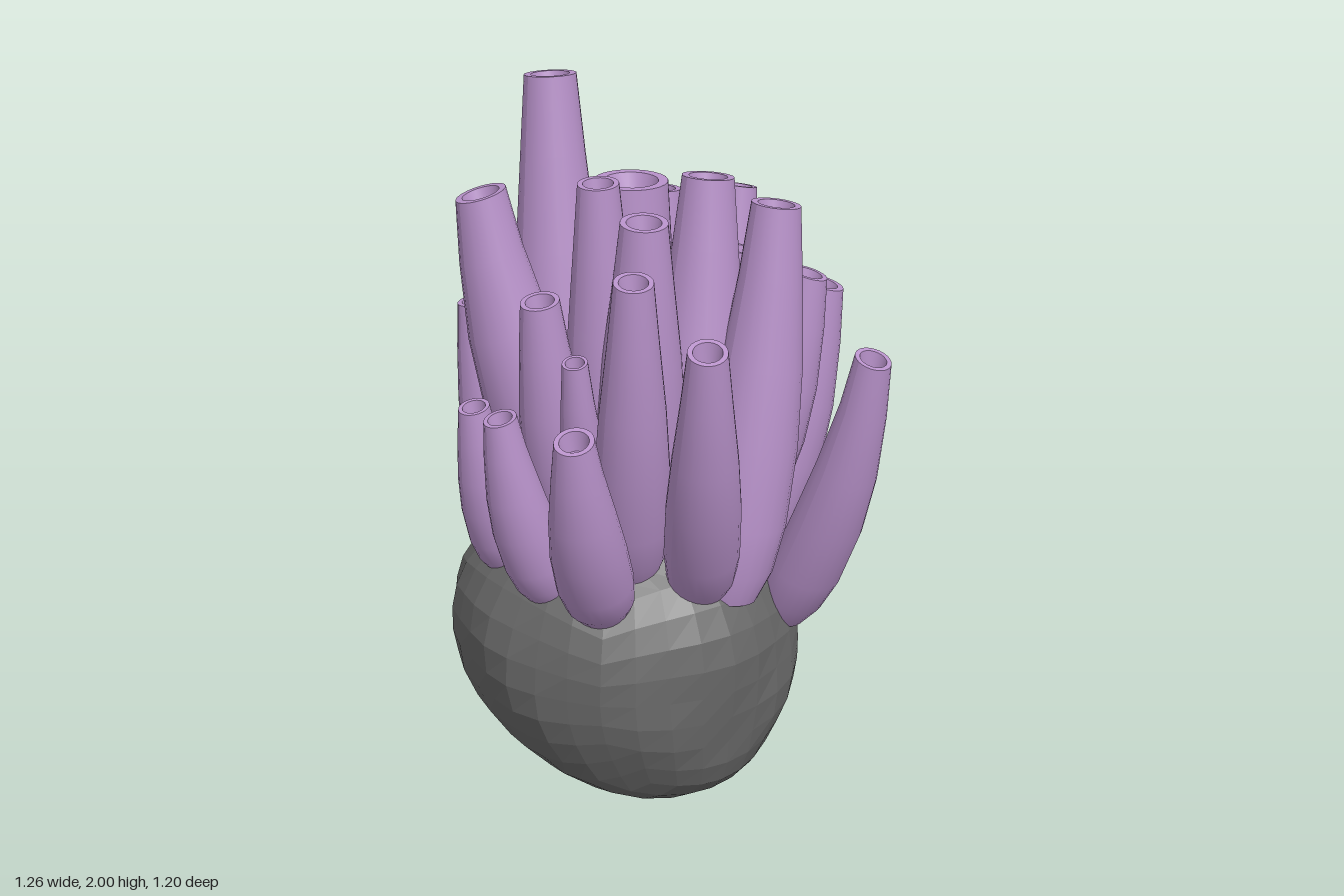
import * as THREE from 'three';

const purple = new THREE.MeshStandardMaterial({ color: 0xb892ca });
purple.name = 'purple tube';
const grey = new THREE.MeshStandardMaterial({ color: 0x696969, flatShading: true });
grey.name = 'grey rock';

// Tube tips: x, y, z, rim radius, then an optional root x, z, y
const TUBES = [
  [-0.44, 1.99, 0.05, 0.073, -0.32, 0.08], [-0.40, 1.25, -0.52, 0.055, -0.26, -0.29],
  [0.05, 1.40, -0.535, 0.065, -0.08, -0.33, 0.55], [-0.16, 1.66, -0.40, 0.05, -0.11, -0.20],
  [0.575, 1.38, -0.27, 0.05, 0.27, -0.23, 0.54], [-0.48, 1.55, -0.23, 0.042],
  [-0.60, 1.31, -0.09, 0.04, -0.40, -0.05], [-0.31, 1.53, -0.19, 0.053], [-0.13, 1.71, -0.10, 0.056],
  [0.22, 1.51, -0.34, 0.055], [0.065, 1.56, -0.23, 0.05], [0.31, 1.76, -0.15, 0.066, 0.30, 0.0],
  [0.135, 1.81, -0.06, 0.07, 0.18, 0.06], [-0.04, 1.78, 0.065, 0.10], [0.05, 1.82, 0.235, 0.055],
  [0.19, 1.74, 0.19, 0.063], [-0.26, 1.75, 0.40, 0.07, -0.12, 0.18], [-0.40, 1.40, 0.34, 0.05, -0.34, 0.25],
  [-0.15, 1.20, 0.51, 0.043, -0.18, 0.39], [0.06, 1.54, 0.43, 0.052], [0.18, 1.40, 0.405, 0.034],
  [0.35, 1.65, 0.34, 0.052], [0.34, 1.26, 0.52, 0.053, 0.19, 0.33], [0.05, 1.24, 0.555, 0.045, 0.04, 0.40],
  [0.54, 1.50, 0.25, 0.052, 0.28, 0.07],
];

const BULGE = new THREE.Vector3(-0.8, 0.1, 0.59);
const PEAK = new THREE.Vector3(-0.15, 0.87, -0.47);

// Lumpy boulder: a cube rounded to a ball, then sheared at the foot, bulged and peaked
function rockGeometry() {
  const box = new THREE.BoxGeometry(2, 2, 2, 8, 8, 8).toNonIndexed();
  const pos = box.attributes.position;
  const d = new THREE.Vector3();
  for (let i = 0; i < pos.count; i++) {
    d.fromBufferAttribute(pos, i);
    // even out the cells before rounding
    d.set(Math.tan(d.x * Math.PI / 4), Math.tan(d.y * Math.PI / 4), Math.tan(d.z * Math.PI / 4)).normalize();
    const low = Math.max(0, -d.y), high = Math.max(0, d.y);
    const lump = 1 + 0.02 * Math.sin(7 * d.x + 5 * d.y) * Math.cos(6 * d.z)
      + 0.05 * Math.max(0, d.dot(BULGE)) ** 6;
    pos.setXYZ(i,
      -0.07 + 0.15 * low * low + 0.49 * (1 + 0.14 * high) * lump * d.x,
      0.44 + 0.44 * d.y + 0.06 * Math.max(0, d.dot(PEAK)) ** 6,
      0.06 + 0.02 * d.y + 0.485 * (1 + 0.04 * high) * lump * d.z);
  }
  box.computeVertexNormals();
  return box;
}

// Hollow tapering tube, bent along a curve from its root in the rock to its tip
function tubeGeometry([x, y, z, r, rootX, rootZ, rootY]) {
  const bx = rootX ?? -0.07 + (x + 0.07) * 0.56;
  const bz = rootZ ?? 0.07 + (z - 0.07) * 0.56;
  const q = ((bx + 0.07) / 0.5) ** 2 + ((bz - 0.07) / 0.49) ** 2;
  const by = rootY ?? 0.38 + 0.44 * Math.sqrt(Math.max(0.1, 1 - q));
  const root = new THREE.Vector3(bx, by, bz);
  const tip = new THREE.Vector3(x, y, z);
  const bend = new THREE.Vector3(bx + (x - bx) * 0.8, by + (y - by) * 0.5, bz + (z - bz) * 0.8);
  const curve = new THREE.QuadraticBezierCurve3(root, bend, tip);
  const chord = tip.clone().sub(root);
  const floor = 1 - 0.055 / chord.length();
  const swell = Math.min(0.98 * r, 0.135 - r);

  // outer wall as [swelling, place along the curve], then the rim and the hollow;
  // doubled points keep the rim crisp
  const profile = [[0.35, 0], [0.8, 0.08], [1, 0.2], [0.95, 0.4], [0.7, 0.6], [0.3, 0.82], [0, 1]]
    .map(([k, t]) => new THREE.Vector2(r + swell * k, t));
  for (const [k, t] of [[1, 1], [0.74, 1], [0.74, 1], [0.56, floor], [0.56, floor], [0, floor]]) {
    profile.push(new THREE.Vector2(r * k, t));
  }
  const geo = new THREE.LatheGeometry(profile, 24);
  const pos = geo.attributes.position;
  // every ring lies square to the overall lean, so the mouths slope outwards
  const lean = new THREE.Quaternion().setFromUnitVectors(new THREE.Vector3(0, 1, 0), chord.normalize());
  const v = new THREE.Vector3();
  for (let i = 0; i < pos.count; i++) {
    const centre = curve.getPoint(pos.getY(i));
    v.set(pos.getX(i), 0, pos.getZ(i)).applyQuaternion(lean).add(centre);
    pos.setXYZ(i, v.x, v.y, v.z);
  }
  geo.computeVertexNormals();
  return geo;
}

export function createModel() {
  const model = new THREE.Group();
  model.name = 'tubeSponge';

  const rock = new THREE.Mesh(rockGeometry(), grey);
  rock.name = 'rock';
  model.add(rock);

  const cluster = new THREE.Group();
  cluster.name = 'tubeCluster';
  TUBES.forEach((spec, i) => {
    const tube = new THREE.Mesh(tubeGeometry(spec), purple);
    tube.name = `tube${i + 1}`;
    cluster.add(tube);
  });
  model.add(cluster);
  return model;
}
